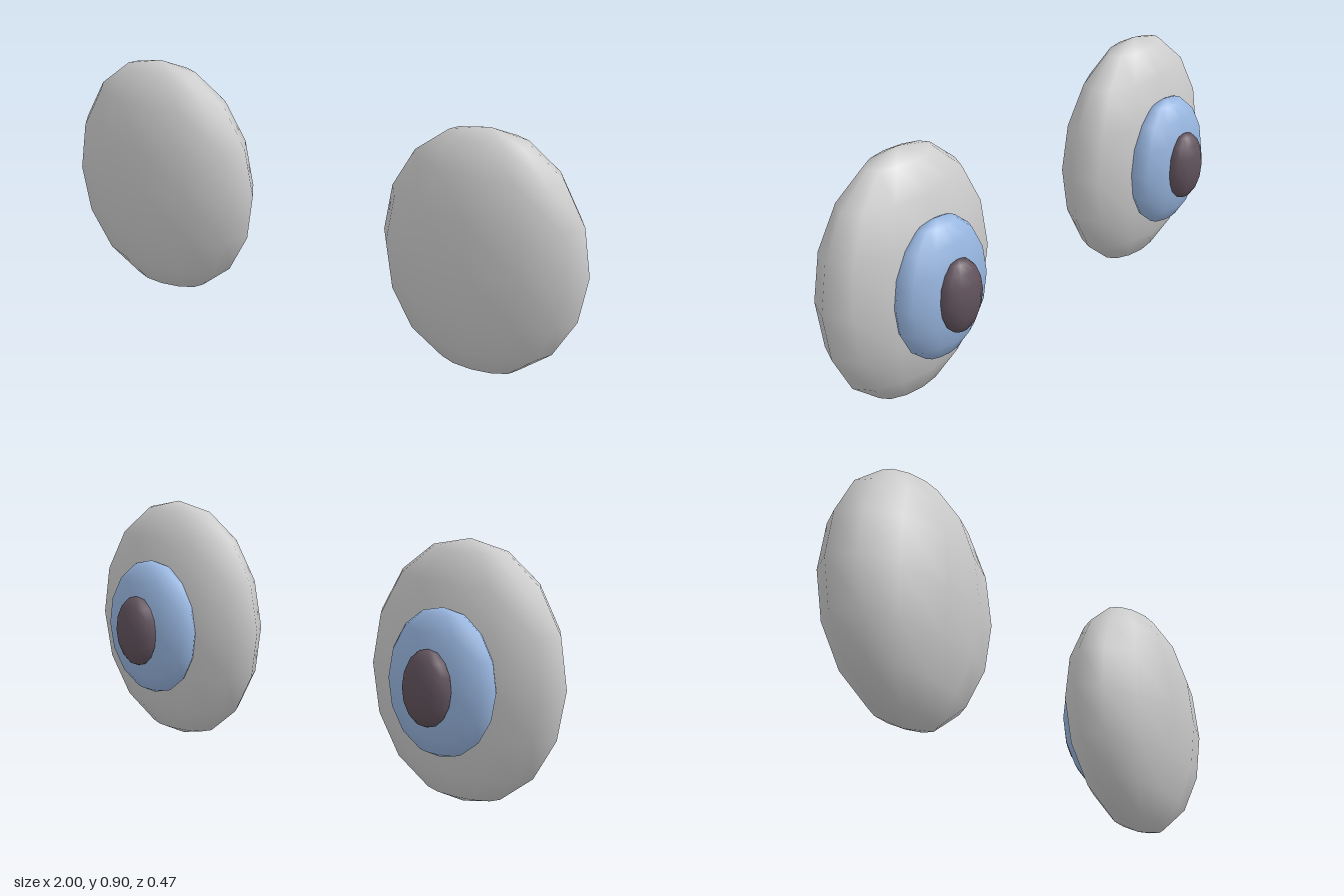
import * as THREE from 'three';

const material = (name, color) => Object.assign(new THREE.MeshStandardMaterial({ color }), { name });

// Each layer is a squashed low-poly ball: centre height and depth, then radii
const layers = [
  { name: 'eyeball', mat: material('pale grey', 0xcccccc), y: 0.455, z: 0.065, r: [0.369, 0.451, 0.17] },
  { name: 'iris', mat: material('soft blue', 0x98b6e0), y: 0.454, z: -0.092, r: [0.203, 0.251, 0.094] },
  { name: 'pupil', mat: material('dark plum', 0x62535d), y: 0.455, z: -0.179, r: [0.09, 0.13, 0.056] },
];

function makeEye(name, x) {
  const eye = new THREE.Group();
  eye.name = name;
  eye.position.x = x;
  for (const { name: part, mat, y, z, r } of layers) {
    const mesh = new THREE.Mesh(new THREE.SphereGeometry(1, 12, 8), mat);
    mesh.name = part;
    mesh.scale.set(...r);
    mesh.position.set(0, y, z);
    eye.add(mesh);
  }
  return eye;
}

export function createModel() {
  const model = new THREE.Group();
  model.name = 'eyes';
  model.add(makeEye('leftEye', 0.631), makeEye('rightEye', -0.631));
  return model;
}
